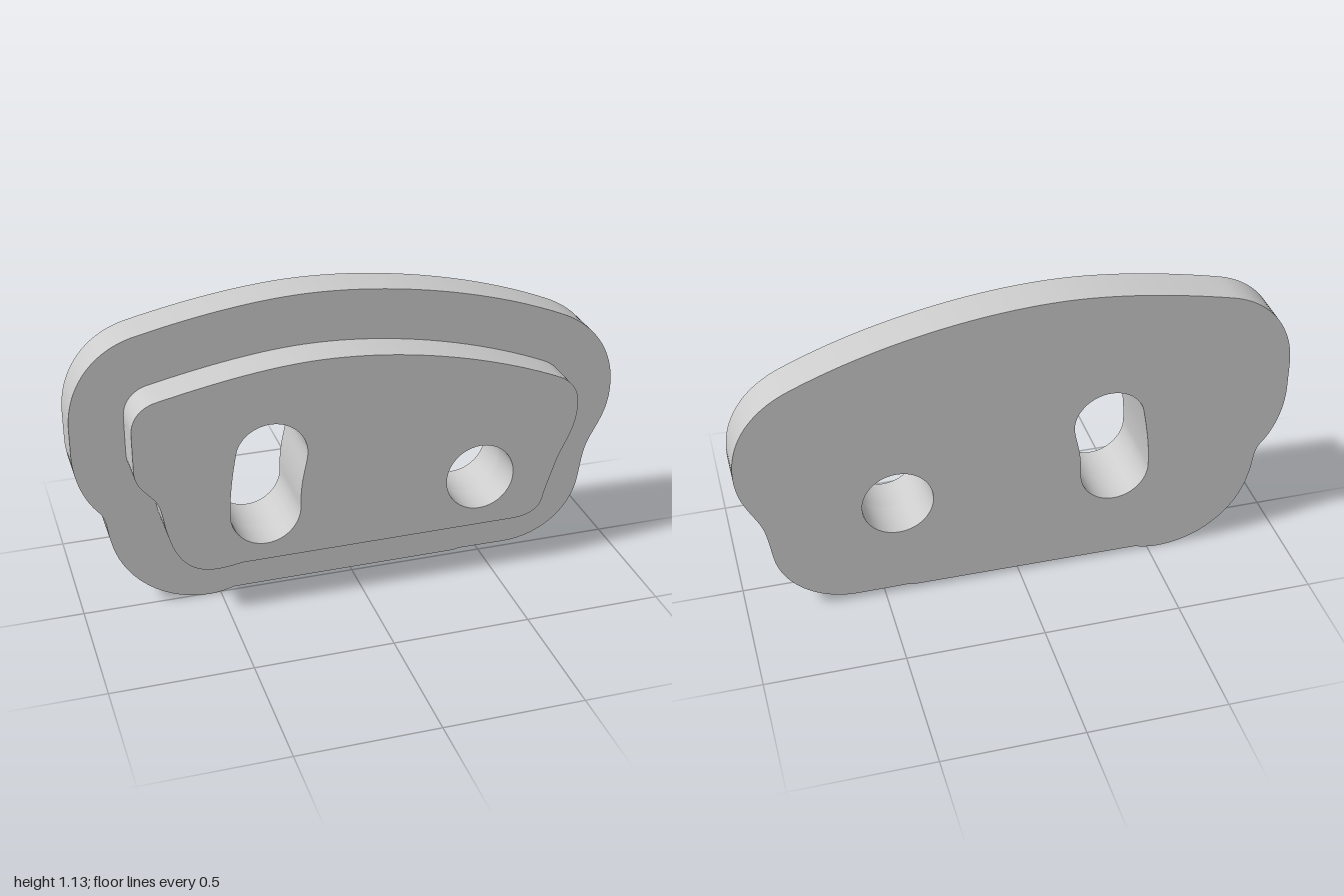
import * as THREE from 'three';
import { toCreasedNormals } from 'three/addons/utils/BufferGeometryUtils.js';

// Traces a closed path: 2 numbers = line, 6 = cubic curve
function trace(path, start, steps) {
  path.moveTo(...start);
  for (const s of steps) {
    if (s.length === 2) path.lineTo(...s);
    else path.bezierCurveTo(...s);
  }
  path.closePath();
  return path;
}

// Round hole and curved slot, shared by both plates
function makeHoles() {
  const round = new THREE.Path().absarc(0.44, 0.4, 0.128, 0, Math.PI * 2, true);
  const slot = trace(new THREE.Path(), [-0.333, 0.73], [
    [-0.26, 0.73, -0.203, 0.67, -0.203, 0.605],
    [-0.203, 0.56, -0.233, 0.5, -0.231, 0.392],
    [-0.231, 0.322, -0.288, 0.264, -0.358, 0.264],
    [-0.428, 0.264, -0.485, 0.322, -0.485, 0.392],
    [-0.485, 0.48, -0.47, 0.57, -0.455, 0.645],
    [-0.438, 0.695, -0.39, 0.73, -0.333, 0.73],
  ]);
  return [round, slot];
}

function makePlate(name, start, steps, zBack, zFront, material) {
  const shape = trace(new THREE.Shape(), start, steps);
  shape.holes.push(...makeHoles());
  const geometry = new THREE.ExtrudeGeometry(shape, {
    depth: zFront - zBack, bevelEnabled: false, curveSegments: 20,
  });
  geometry.translate(0, 0, zBack);
  const mesh = new THREE.Mesh(toCreasedNormals(geometry, 0.6), material);
  mesh.name = name;
  return mesh;
}

export function createModel() {
  const group = new THREE.Group();
  group.name = 'steppedPlate';
  const material = new THREE.MeshStandardMaterial({ color: 0xcccccc });

  // Large rear plate
  group.add(makePlate('backPlate', [-0.45, 0.015], [
    [0.4, 0.018],
    [0.42, 0.023], [0.6, 0.022],
    [0.73, 0.022, 0.85, 0.1, 0.885, 0.225],
    [0.898, 0.28, 0.9, 0.34, 0.918, 0.39],
    [0.945, 0.46, 1.0, 0.51, 1.0, 0.63],
    [1.0, 0.77, 0.92, 0.88, 0.79, 0.937],
    [0.49, 1.07, 0.13, 1.135, -0.15, 1.135],
    [-0.34, 1.135, -0.56, 1.1, -0.77, 1.05],
    [-0.92, 1.01, -1.0, 0.88, -1.0, 0.74],
    [-1.0, 0.64],
    [-1.0, 0.55, -0.97, 0.46, -0.915, 0.4],
    [-0.893, 0.37, -0.897, 0.33, -0.885, 0.28],
    [-0.85, 0.11, -0.7, 0, -0.54, 0],
    [-0.51, 0, -0.48, 0.006, -0.45, 0.015],
  ], -0.145, 0.005, material));

  // Smaller raised front plate
  group.add(makePlate('frontPlate', [-0.45, 0.2], [
    [0.57, 0.205],
    [0.63, 0.205, 0.68, 0.225, 0.69, 0.28],
    [0.7, 0.32, 0.715, 0.36, 0.728, 0.4],
    [0.75, 0.47, 0.79, 0.52, 0.802, 0.585],
    [0.808, 0.61, 0.808, 0.64, 0.806, 0.66],
    [0.803, 0.705, 0.775, 0.735, 0.735, 0.757],
    [0.46, 0.88, 0.13, 0.95, -0.15, 0.948],
    [-0.33, 0.948, -0.54, 0.91, -0.73, 0.868],
    [-0.785, 0.852, -0.812, 0.81, -0.812, 0.76],
    [-0.812, 0.62],
    [-0.812, 0.55, -0.76, 0.53, -0.737, 0.485],
    [-0.718, 0.44, -0.72, 0.4, -0.708, 0.36],
    [-0.69, 0.28, -0.65, 0.19, -0.54, 0.19],
    [-0.51, 0.19, -0.48, 0.194, -0.45, 0.2],
  ], 0.005, 0.145, material));

  return group;
}
